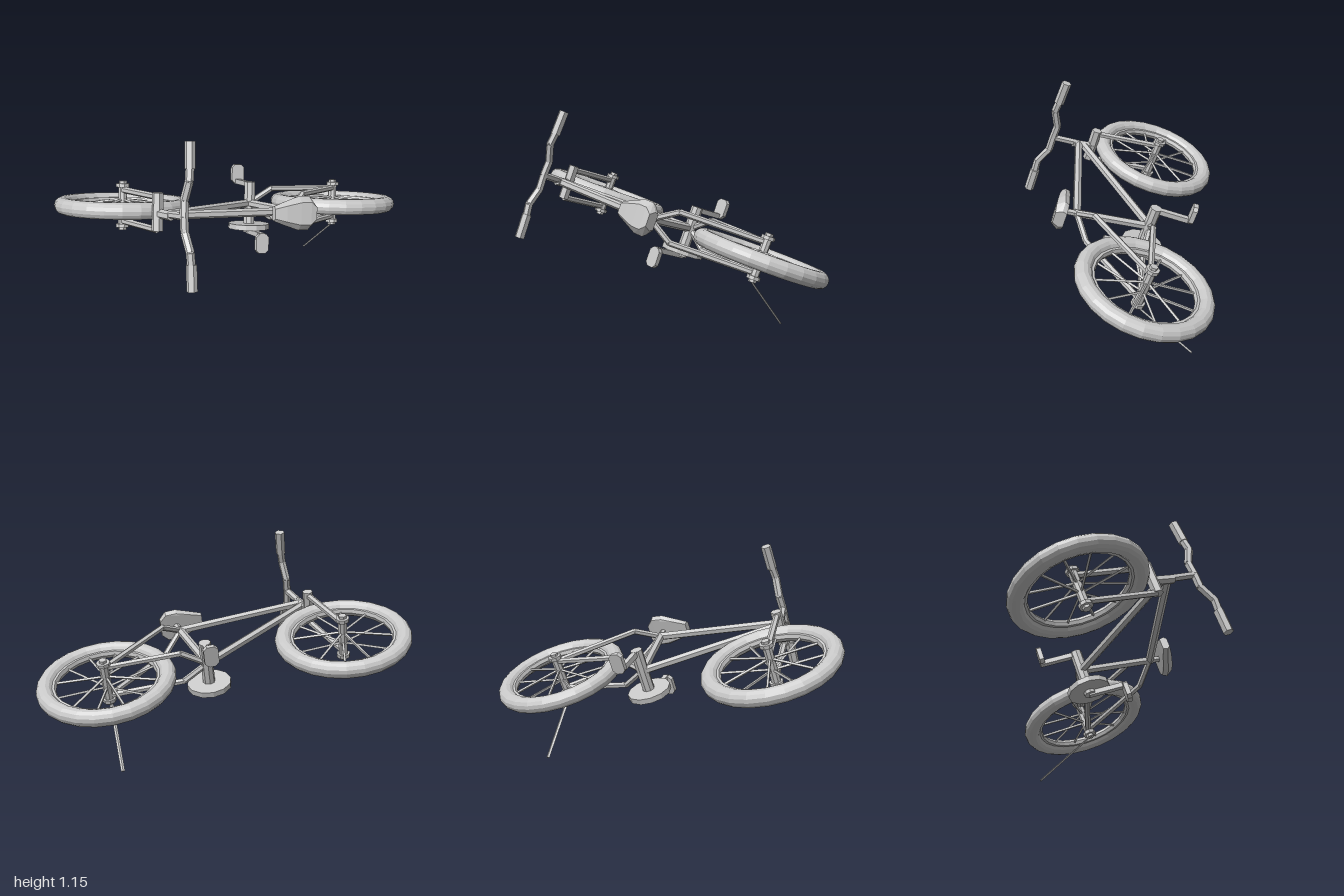
import * as THREE from 'three';
import { ConvexGeometry } from 'three/addons/geometries/ConvexGeometry.js';

const grey = new THREE.MeshStandardMaterial({ color: 0xc8c8c8, flatShading: true });
grey.name = 'light grey';

// Bike space: x forward, y up the frame, z across the bike (the origin is midway between the hubs).
const V = (x, y, z = 0) => new THREE.Vector3(x, y, z);

function add(parent, name, geometry) {
  const mesh = new THREE.Mesh(geometry, grey);
  mesh.name = name;
  parent.add(mesh);
  return mesh;
}

// Straight tube between two points
function rod(parent, name, p, q, r, sides = 6) {
  const dir = q.clone().sub(p);
  const mesh = add(parent, name, new THREE.CylinderGeometry(r, r, dir.length(), sides));
  mesh.position.copy(p).lerp(q, 0.5);
  mesh.quaternion.setFromUnitVectors(V(0, 1), dir.normalize());
  return mesh;
}

// Bent tube through several points, with a small knuckle closing each bend
function bentRod(parent, name, pts, r) {
  for (let i = 1; i < pts.length; i++) {
    rod(parent, name, pts[i - 1], pts[i], r);
    if (i < pts.length - 1) add(parent, name + 'Joint', new THREE.IcosahedronGeometry(r, 0)).position.copy(pts[i]);
  }
}

function wheel(name, x) {
  const g = new THREE.Group();
  g.name = name;
  g.position.x = x;
  g.rotation.x = 0.02;
  add(g, 'tyre', new THREE.TorusGeometry(0.323, 0.045, 14, 24));
  add(g, 'rim', new THREE.TorusGeometry(0.277, 0.015, 6, 24)).scale.z = 1.5;
  rod(g, 'hub', V(0, 0, -0.11), V(0, 0, 0.11), 0.025, 8);
  for (const s of [-1, 1]) {
    rod(g, 'hubFlange', V(0, 0, s * 0.1), V(0, 0, s * 0.12), 0.037, 8);
    rod(g, 'axleNut', V(0, 0, s * 0.115), V(0, 0, s * 0.135), 0.022, 6);
  }
  for (let i = 0; i < 12; i++) {
    const t = (i / 12) * Math.PI * 2 + 0.25;
    const c = Math.cos(t), s = Math.sin(t), z = i % 2 ? 0.03 : -0.03;
    rod(g, 'spoke', V(c * 0.02, s * 0.02, z), V(c * 0.275, s * 0.275, 0), 0.008, 4);
  }
  return g;
}

function frame() {
  const g = new THREE.Group();
  g.name = 'frame';
  const seatTop = V(-0.185, 0.4), bottomBracket = V(-0.105, -0.005);
  rod(g, 'headTube', V(0.557, 0.38), V(0.527, 0.5), 0.025);
  rod(g, 'topTube', V(0.535, 0.465), seatTop, 0.023);
  rod(g, 'downTube', V(0.54, 0.435), bottomBracket, 0.023);
  rod(g, 'seatTube', bottomBracket, V(-0.188, 0.415), 0.023);
  rod(g, 'seatPost', seatTop, V(-0.2, 0.48), 0.018);
  // Stays spread apart, then run parallel to the rear hub
  for (const s of [-1, 1]) {
    const hub = V(-0.643, 0, s * 0.085);
    bentRod(g, 'seatStay', [seatTop, V(-0.29, 0.315, s * 0.085), hub], 0.017);
    bentRod(g, 'chainStay', [bottomBracket, V(-0.24, 0, s * 0.085), hub], 0.017);
  }
  return g;
}

function fork() {
  const g = new THREE.Group();
  g.name = 'fork';
  rod(g, 'forkCrown', V(0.562, 0.384, -0.09), V(0.562, 0.384, 0.108), 0.03);
  for (const s of [-1, 1]) rod(g, 'forkLeg', V(0.563, 0.38, s * 0.085), V(0.643, 0, s * 0.085), 0.018);
  return g;
}

function handlebar() {
  const g = new THREE.Group();
  g.name = 'handlebar';
  rod(g, 'stem', V(0.53, 0.49), V(0.5, 0.622), 0.02);
  for (const s of [-1, 1]) {
    bentRod(g, 'bar', [V(0.5, 0.622), V(0.497, 0.62, s * 0.08),
      V(0.485, 0.663, s * 0.175), V(0.478, 0.658, s * 0.25)], 0.022);
    rod(g, 'grip', V(0.478, 0.658, s * 0.235), V(0.475, 0.655, s * 0.37), 0.028);
  }
  // Knocked slightly askew
  g.rotation.set(0.04, 0.025, 0);
  return g;
}

// Flat pedal with clipped corners
function pedalGeometry(w, d, t) {
  const x = w / 2, y = d / 2, k = 0.018;
  const outline = [[x, k - y], [x, y - k], [x - k, y], [k - x, y], [-x, y - k], [-x, k - y], [k - x, -y], [x - k, -y]];
  const shape = new THREE.Shape(outline.map(([px, py]) => new THREE.Vector2(px, py)));
  return new THREE.ExtrudeGeometry(shape, { depth: t, bevelEnabled: false }).translate(0, 0, -t / 2).rotateX(Math.PI / 2);
}

function drivetrain() {
  const g = new THREE.Group();
  g.name = 'drivetrain';
  const x = -0.107;
  rod(g, 'crankAxle', V(x, 0, -0.165), V(x, 0, 0.125), 0.033, 8);
  rod(g, 'chainring', V(x, 0, -0.145), V(x, 0, -0.115), 0.119, 12);
  for (const [s, z] of [[-1, 0.11], [1, -0.16]]) {
    const crank = add(g, 'crank', new THREE.BoxGeometry(0.03, 0.215, 0.028));
    crank.position.set(x, s * 0.1, z);
    add(g, 'pedal', pedalGeometry(0.075, 0.11, 0.026)).position.set(x, s * 0.197, z + Math.sign(z) * 0.045);
  }
  return g;
}

function saddle() {
  // Stations from nose to tail: [forward, half width, underside, top]
  const stations = [[-0.045, 0.04, 0.465, 0.505], [-0.11, 0.065, 0.46, 0.515],
    [-0.19, 0.092, 0.46, 0.52], [-0.25, 0.092, 0.455, 0.52], [-0.285, 0.05, 0.455, 0.515]];
  const pts = [];
  for (const [x, w, lo, hi] of stations)
    for (const s of [-1, 1]) pts.push(V(x, lo, s * w * 0.85), V(x, lo + 0.025, s * w), V(x, hi, s * w * 0.65));
  return new ConvexGeometry(pts);
}

export function createModel() {
  const model = new THREE.Group();
  model.name = 'model';
  const bike = new THREE.Group();
  bike.name = 'bicycle';
  model.add(bike);

  bike.add(wheel('frontWheel', 0.643), wheel('rearWheel', -0.643), frame(), fork(), handlebar(), drivetrain());
  add(bike, 'saddle', saddle());
  // Flat kickstand blade
  rod(bike, 'kickstand', V(-0.638, 0.017, -0.125), V(-0.643, -0.357, -0.322), 0.006, 4).scale.x = 1.7;

  // Lay the bike over on its side, propped on the kickstand
  const forward = V(-0.988, 0.154, 0).normalize();
  const up = V(0.15, 0.94, -0.305).cross(forward).normalize();
  const side = forward.clone().cross(up);
  bike.quaternion.setFromRotationMatrix(new THREE.Matrix4().makeBasis(forward, up, side));
  bike.position.set(0, 0.516, -0.21);
  return model;
}
